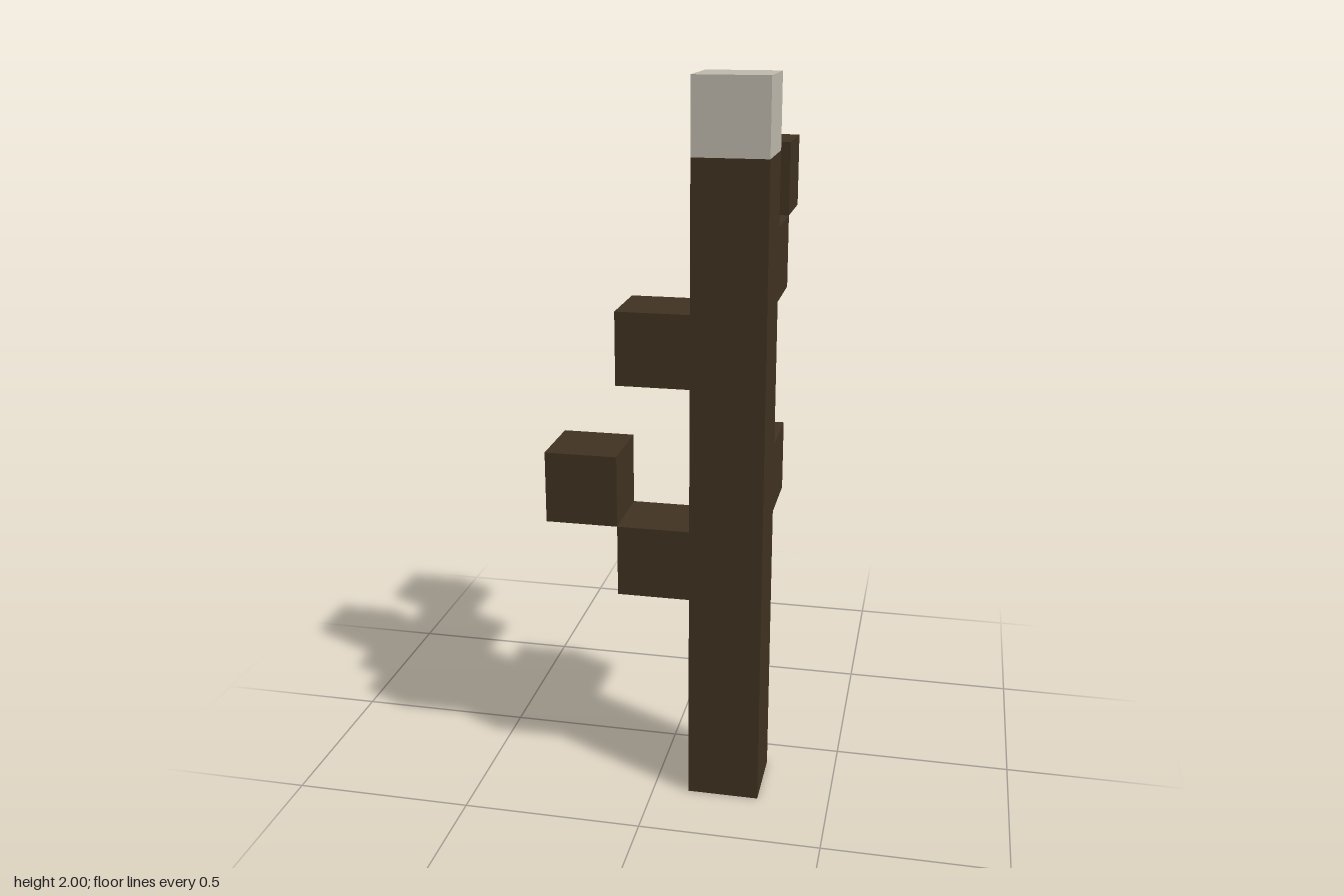
import * as THREE from 'three';

const S = 0.2; // side of one block

export function createModel() {
  const group = new THREE.Group();
  const bark = new THREE.MeshStandardMaterial({ color: 0x403222 });
  bark.name = 'dark brown bark';
  const pale = new THREE.MeshStandardMaterial({ color: 0xbfbaad });
  pale.name = 'pale grey tip';

  // A column of blocks; y is its base
  function block(name, material, x, y, z, height = S) {
    const mesh = new THREE.Mesh(new THREE.BoxGeometry(S, height, S), material);
    mesh.name = name;
    mesh.position.set(x, y + height / 2, z);
    group.add(mesh);
  }

  // Upright stem with a pale tip
  block('stem', bark, 0.2, 0, 0.2, 1.8);
  block('tip', pale, 0.2, 1.8, 0.2);

  // Side branches, two of them stepping up and outward
  block('lowerRightBranch', bark, 0, 0.6, 0.2);
  block('lowerRightBranchEnd', bark, -0.2, 0.8, 0.2);
  block('upperRightBranch', bark, 0, 1.2, 0.2);

  // Back branches
  block('lowerBackBranch', bark, 0.2, 0.8, 0);
  block('upperBackBranch', bark, 0.2, 1.4, 0);
  block('upperBackBranchEnd', bark, 0.2, 1.6, -0.2);

  return group;
}
